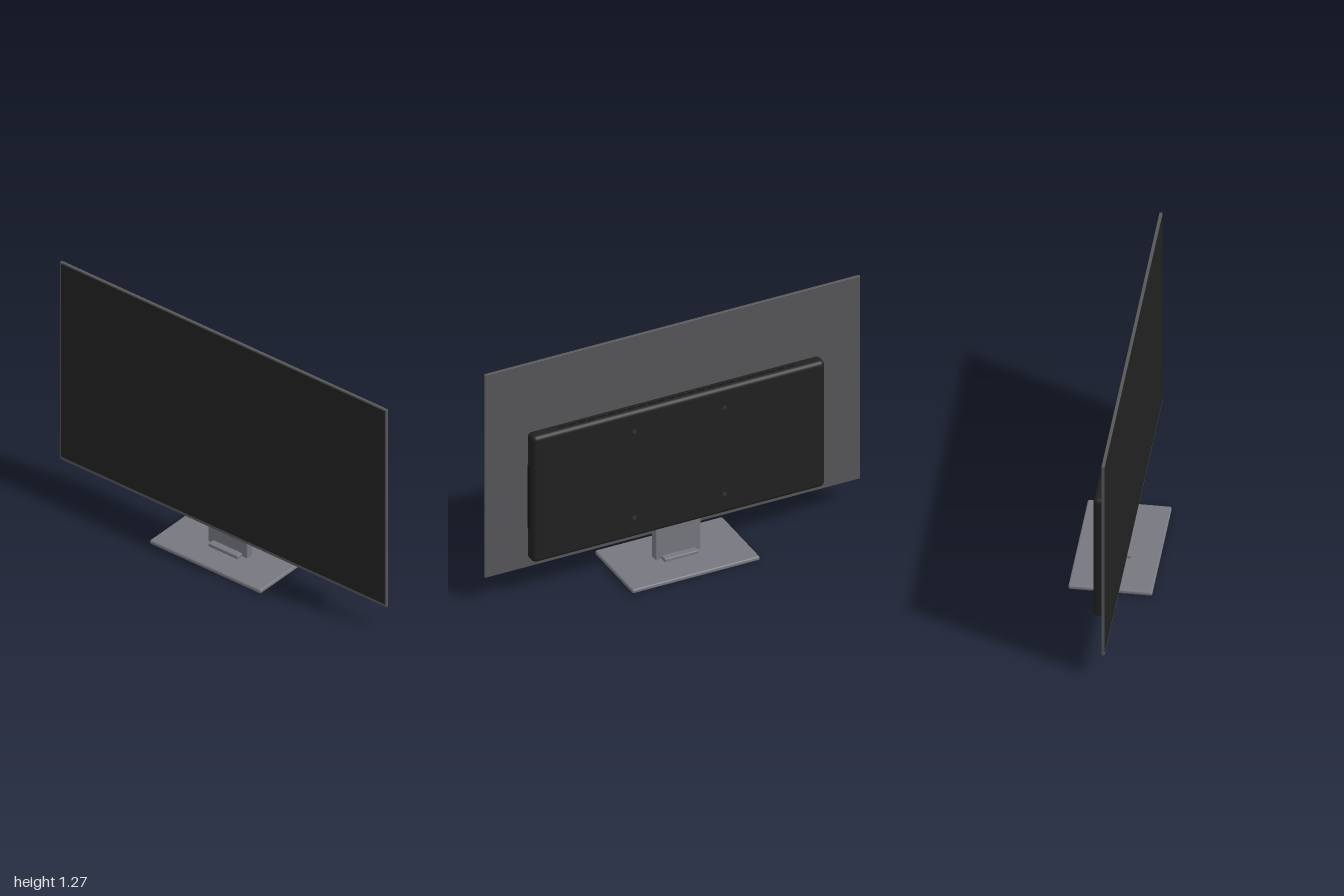
import * as THREE from 'three';
import { RoundedBoxGeometry } from 'three/addons/geometries/RoundedBoxGeometry.js';

const material = (name, color) => {
  const m = new THREE.MeshStandardMaterial({ color });
  m.name = name;
  return m;
};

export function createModel() {
  const screenBlack = material('screenBlack', 0x222222);
  const housingBlack = material('housingBlack', 0x212121);
  const slotBlack = material('slotBlack', 0x141414);
  const frameGrey = material('frameGrey', 0x57575a);
  const boltGrey = material('boltGrey', 0x333335);
  const standGrey = material('standGrey', 0x77787f);

  const model = new THREE.Group();
  model.name = 'displayOnStand';

  const add = (name, geometry, mat, x, y, z, parent = model) => {
    const mesh = new THREE.Mesh(geometry, mat);
    mesh.name = name;
    mesh.position.set(x, y, z);
    parent.add(mesh);
    return mesh;
  };
  // Box given by its limits; a radius rounds the edges
  const box = (name, mat, [x0, x1], [y0, y1], [z0, z1], radius = 0, parent = model) => {
    const size = [x1 - x0, y1 - y0, z1 - z0];
    const geometry = radius
      ? new RoundedBoxGeometry(...size, 4, radius)
      : new THREE.BoxGeometry(...size);
    return add(name, geometry, mat, (x0 + x1) / 2, (y0 + y1) / 2, (z0 + z1) / 2, parent);
  };

  // Thin panel with the screen set just inside its border
  box('panel', frameGrey, [-1, 1], [0.135, 1.272], [0.05, 0.065], 0.002);
  box('screen', screenBlack, [-0.991, 0.991], [0.152, 1.264], [0.0635, 0.0665]);

  // Electronics housing behind the panel
  box('rearHousing', housingBlack, [-0.78, 0.78], [0.19, 0.896], [-0.022, 0.053], 0.024);

  // Row of vents along the top of the housing
  const vents = new THREE.Group();
  vents.name = 'topVents';
  model.add(vents);
  const ventCount = 24;
  for (let i = 0; i < ventCount; i++) {
    const x = -0.61 + (1.22 * i) / (ventCount - 1);
    box('vent', slotBlack, [x - 0.019, x + 0.019], [0.892, 0.898], [0.008, 0.016], 0, vents);
  }

  // Connector strip on the left side
  box('connectorStrip', slotBlack, [0.776, 0.782], [0.368, 0.72], [0.004, 0.034]);

  // Four mounting bolts on the back
  const bolts = new THREE.Group();
  bolts.name = 'mountingBolts';
  model.add(bolts);
  const boltShape = new THREE.CylinderGeometry(0.011, 0.011, 0.008, 16).rotateX(Math.PI / 2);
  for (const x of [-0.24, 0.24]) {
    for (const y of [0.302, 0.787]) add('bolt', boltShape, boltGrey, x, y, -0.021, bolts);
  }

  // Stand: flat foot, collar and neck
  const stand = new THREE.Group();
  stand.name = 'stand';
  model.add(stand);
  box('base', standGrey, [-0.34, 0.34], [0, 0.023], [-0.202, 0.202], 0.009, stand);
  box('collar', standGrey, [-0.09, 0.09], [0.018, 0.04], [-0.047, 0.066], 0.006, stand);
  box('neck', standGrey, [-0.121, 0.121], [0.018, 0.24], [-0.01, 0.031], 0.006, stand);

  return model;
}
